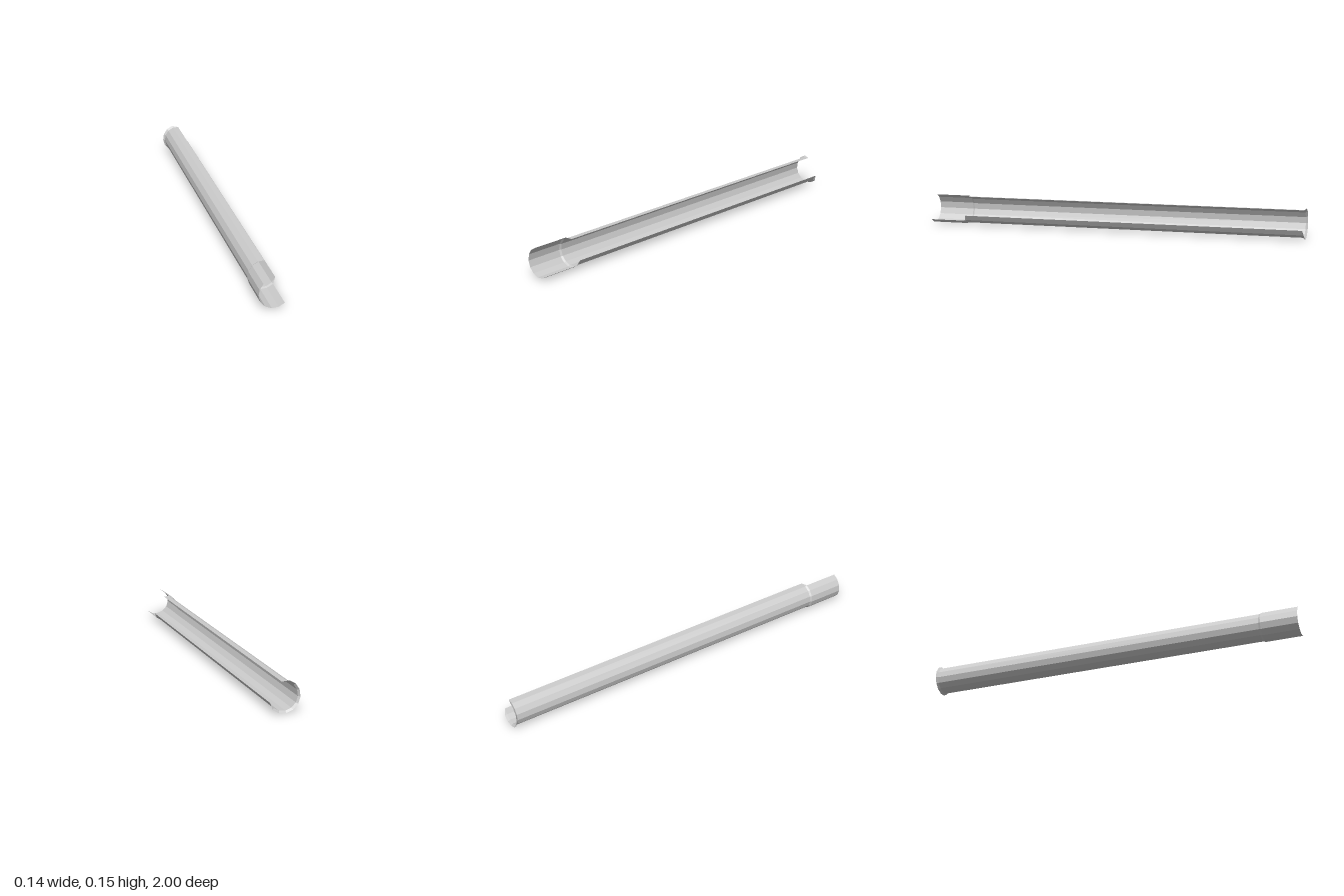
import * as THREE from 'three';

const CX = 0.0065, CY = 0.0795;            // tube axis
const START = THREE.MathUtils.degToRad(82); // upper lip
const STEP = (Math.PI * 2) / 14;            // 14-sided tube, 10 sides present
const LAST = 10;

const MAIN_R = 0.07, SOCKET_R = 0.0745, FLARE_R = 0.079;

// Point number i of the open polygonal section
function point(i, r, z) {
  const a = START + i * STEP;
  return new THREE.Vector3(CX + Math.cos(a) * r, CY + Math.sin(a) * r, z);
}

function section(r, z, from = 0, to = LAST) {
  const pts = [];
  for (let i = from; i <= to; i++) pts.push(point(i, r, z));
  return pts;
}

// Wider section whose two end points close back onto the main tube's lips
function taperedSection(r, z, lipZ) {
  return [point(0, MAIN_R, lipZ), ...section(r, z, 1, LAST - 1), point(LAST, MAIN_R, lipZ)];
}

// Faceted strip between a rear and a front section, skipping collapsed triangles
function strip(name, rear, front, material) {
  const pos = [];
  const tri = (a, b, c) => {
    if (a.equals(b) || b.equals(c) || c.equals(a)) return;
    for (const p of [a, b, c]) pos.push(p.x, p.y, p.z);
  };
  for (let i = 0; i < rear.length - 1; i++) {
    tri(rear[i], front[i + 1], front[i]);
    tri(rear[i], rear[i + 1], front[i + 1]);
  }
  const geometry = new THREE.BufferGeometry();
  geometry.setAttribute('position', new THREE.Float32BufferAttribute(pos, 3));
  geometry.computeVertexNormals();
  const mesh = new THREE.Mesh(geometry, material);
  mesh.name = name;
  return mesh;
}

export function createModel() {
  const group = new THREE.Group();
  group.name = 'openGutterPipe';
  const material = new THREE.MeshStandardMaterial({
    color: 0xcccccc, flatShading: true, side: THREE.DoubleSide,
  });

  const back = -0.99, shoulder = 0.8, socket = 0.81;

  // Long open channel
  group.add(strip('channel', section(MAIN_R, back), section(MAIN_R, shoulder), material));

  // Flared rim at the back, fading out at both lips
  group.add(strip('backFlare', taperedSection(FLARE_R, -1, back), section(MAIN_R, back), material));

  // Small step up to the socket
  group.add(strip('shoulderRing', section(MAIN_R, shoulder),
    taperedSection(SOCKET_R, socket, shoulder), material));

  // Wider socket at the front, one side shorter at each lip
  group.add(strip('frontSocket', section(SOCKET_R, socket, 1, LAST - 1),
    section(SOCKET_R, 1, 1, LAST - 1), material));

  return group;
}
